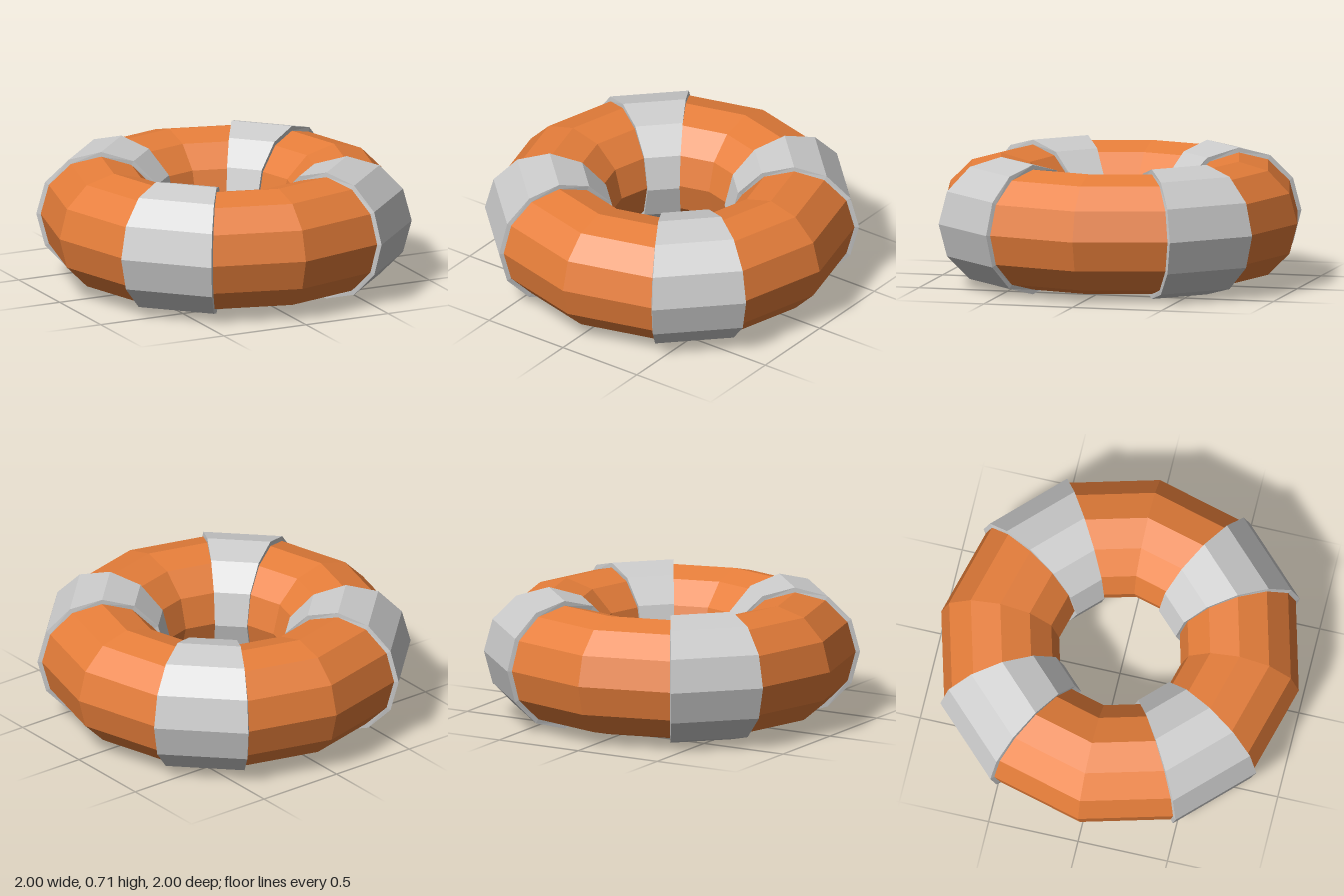
import * as THREE from 'three';

const R = 0.67, r = 0.33;        // ring radius, tube radius
const SIDES = 12, SEGMENTS = 12; // facets around the tube and around the ring
const SWELL = 1.08;              // how far a band stands proud of the tube
const CENTRE_Y = r * SWELL;

// One ring segment, swollen across the tube only, with rims down to the tube
function bandGeometry() {
  const half = Math.PI / SEGMENTS;
  const mid = R * Math.cos(half);
  const sections = [[-1, 1], [-1, SWELL], [1, SWELL], [1, 1]]; // [end, swell]
  const corner = ([end, k], i) => {
    const phi = (i / SIDES) * Math.PI * 2;
    const c = R + r * Math.cos(phi);
    return [mid + (c * Math.cos(half) - mid) * k, r * Math.sin(phi) * k, end * c * Math.sin(half)];
  };
  const positions = [];
  for (let j = 0; j < sections.length - 1; j++) {
    for (let i = 0; i < SIDES; i++) {
      const a = corner(sections[j], i), b = corner(sections[j], i + 1);
      const c = corner(sections[j + 1], i + 1), d = corner(sections[j + 1], i);
      positions.push(...a, ...b, ...c, ...a, ...c, ...d);
    }
  }
  const geometry = new THREE.BufferGeometry();
  geometry.setAttribute('position', new THREE.Float32BufferAttribute(positions, 3));
  geometry.computeVertexNormals();
  return geometry;
}

export function createModel() {
  const model = new THREE.Group();
  model.name = 'lifebuoy';
  const orange = new THREE.MeshStandardMaterial({ color: 0xe67e3a, flatShading: true });
  const grey = new THREE.MeshStandardMaterial({ color: 0xcccccc, flatShading: true });

  // Float ring
  const ring = new THREE.Mesh(new THREE.TorusGeometry(R, r, SIDES, SEGMENTS).rotateX(-Math.PI / 2), orange);
  ring.name = 'floatRing';
  ring.position.y = CENTRE_Y;
  model.add(ring);

  // Four bands on the diagonals
  const geometry = bandGeometry();
  for (let i = 0; i < 4; i++) {
    const band = new THREE.Mesh(geometry, grey);
    band.name = `band${i + 1}`;
    band.position.y = CENTRE_Y;
    band.rotation.y = Math.PI / 4 + i * Math.PI / 2;
    model.add(band);
  }
  return model;
}
